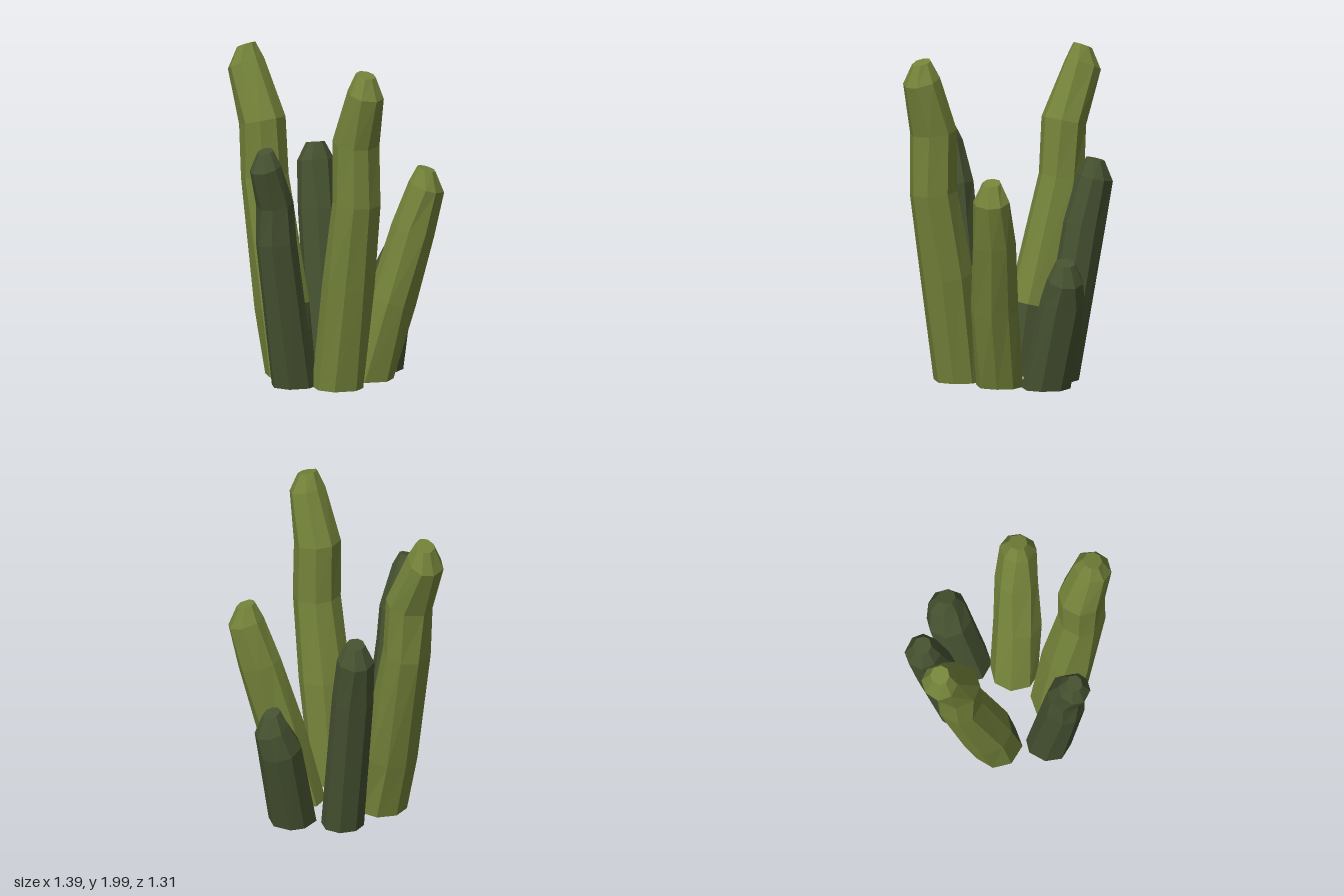
import * as THREE from 'three';

const SIDES = 8;

function seeded(seed) {
  let s = seed;
  return () => (s = (s * 16807) % 2147483647) / 2147483647;
}

// Each ring is [x, y, z, radius]; rings tilt with the stalk's direction.
function stalkGeometry(rings, seed, isPatch) {
  const rand = seeded(seed);
  const tip = rings.length;
  const [tx, ty, tz, tr] = rings[tip - 1];
  // a small ring above the last one makes the blunt tip
  const all = [...rings, [tx, ty + tr, tz, tr * 0.52]];
  const centres = all.map(([x, y, z]) => new THREE.Vector3(x, y, z));

  const loops = all.map(([, , , radius], i) => {
    const up = new THREE.Vector3(0, 1, 0);
    if (i > 0) {
      up.subVectors(centres[Math.min(i + 1, tip - 1)], centres[Math.min(i, tip - 1) - 1]).normalize();
    }
    const u = new THREE.Vector3(1, 0, 0).addScaledVector(up, -up.x).normalize();
    const w = new THREE.Vector3().crossVectors(u, up);
    return Array.from({ length: SIDES }, (_, k) => {
      const a = (k / SIDES) * Math.PI * 2 + (rand() - 0.5) * 0.2;
      const r = radius * (1 + (rand() - 0.5) * 0.06);
      return centres[i].clone().addScaledVector(u, Math.cos(a) * r).addScaledVector(w, Math.sin(a) * r);
    });
  });

  const main = [], patch = [];
  const tri = (list, ...pts) => pts.forEach(p => list.push(p.x, p.y, p.z));
  for (let k = 0; k < SIDES; k++) {
    const n = (k + 1) % SIDES;
    for (let i = 0; i < tip; i++) {
      const list = isPatch(i, k) ? patch : main;
      tri(list, loops[i][k], loops[i + 1][k], loops[i][n]);
      tri(list, loops[i + 1][k], loops[i + 1][n], loops[i][n]);
    }
    // end caps
    tri(main, centres[0], loops[0][k], loops[0][n]);
    tri(main, centres[tip], loops[tip][n], loops[tip][k]);
  }

  const geo = new THREE.BufferGeometry();
  geo.setAttribute('position', new THREE.Float32BufferAttribute([...main, ...patch], 3));
  geo.addGroup(0, main.length / 3, 0);
  geo.addGroup(main.length / 3, patch.length / 3, 1);
  geo.computeVertexNormals();
  return geo;
}

export function createModel() {
  const group = new THREE.Group();
  group.name = 'stalkCluster';

  const lightGreen = new THREE.MeshStandardMaterial({ color: 0x74833a, flatShading: true });
  lightGreen.name = 'lightGreen';
  const darkGreen = new THREE.MeshStandardMaterial({ color: 0x465231, flatShading: true });
  darkGreen.name = 'darkGreen';

  const addStalk = (name, material, rings, isPatch = () => false) => {
    const seed = 101 + group.children.length * 977;
    const mesh = new THREE.Mesh(stalkGeometry(rings, seed, isPatch), [material, darkGreen]);
    mesh.name = name;
    group.add(mesh);
  };

  // tall pair, bent outward near the top; the right one has a darker inner foot
  addStalk('rightTallStalk', lightGreen, [
    [-0.16, 0.01, 0.16, 0.155], [-0.25, 0.42, 0.155, 0.165], [-0.435, 1.19, 0.14, 0.145],
    [-0.455, 1.53, 0.145, 0.143], [-0.6, 1.86, 0.16, 0.115],
  ], (i, k) => i === 0 && (k === 0 || k >= 6));
  addStalk('leftTallStalk', lightGreen, [
    [0.305, 0.01, 0.155, 0.158], [0.4, 0.66, 0.155, 0.162], [0.49, 1.18, 0.155, 0.145],
    [0.485, 1.55, 0.16, 0.142], [0.58, 1.87, 0.155, 0.115],
  ]);

  // middle-height stalks
  addStalk('frontStalk', darkGreen, [
    [0.098, 0.01, 0.335, 0.137], [0.107, 0.92, 0.475, 0.127], [0.11, 1.15, 0.485, 0.115],
    [0.115, 1.39, 0.565, 0.098],
  ]);
  addStalk('backLeftStalk', lightGreen, [
    [0.22, 0.01, -0.155, 0.145], [0.315, 0.5, -0.245, 0.147], [0.39, 0.93, -0.35, 0.135],
    [0.45, 1.2, -0.41, 0.112],
  ]);
  addStalk('backRightStalk', darkGreen, [
    [-0.2, 0.01, -0.165, 0.13], [-0.365, 0.95, -0.21, 0.127], [-0.425, 1.24, -0.235, 0.112],
  ]);

  // short stalk at the back
  addStalk('backStalk', darkGreen, [
    [0.03, 0.01, -0.375, 0.147], [-0.01, 0.55, -0.5, 0.14], [0.005, 0.69, -0.55, 0.11],
  ]);

  return group;
}
